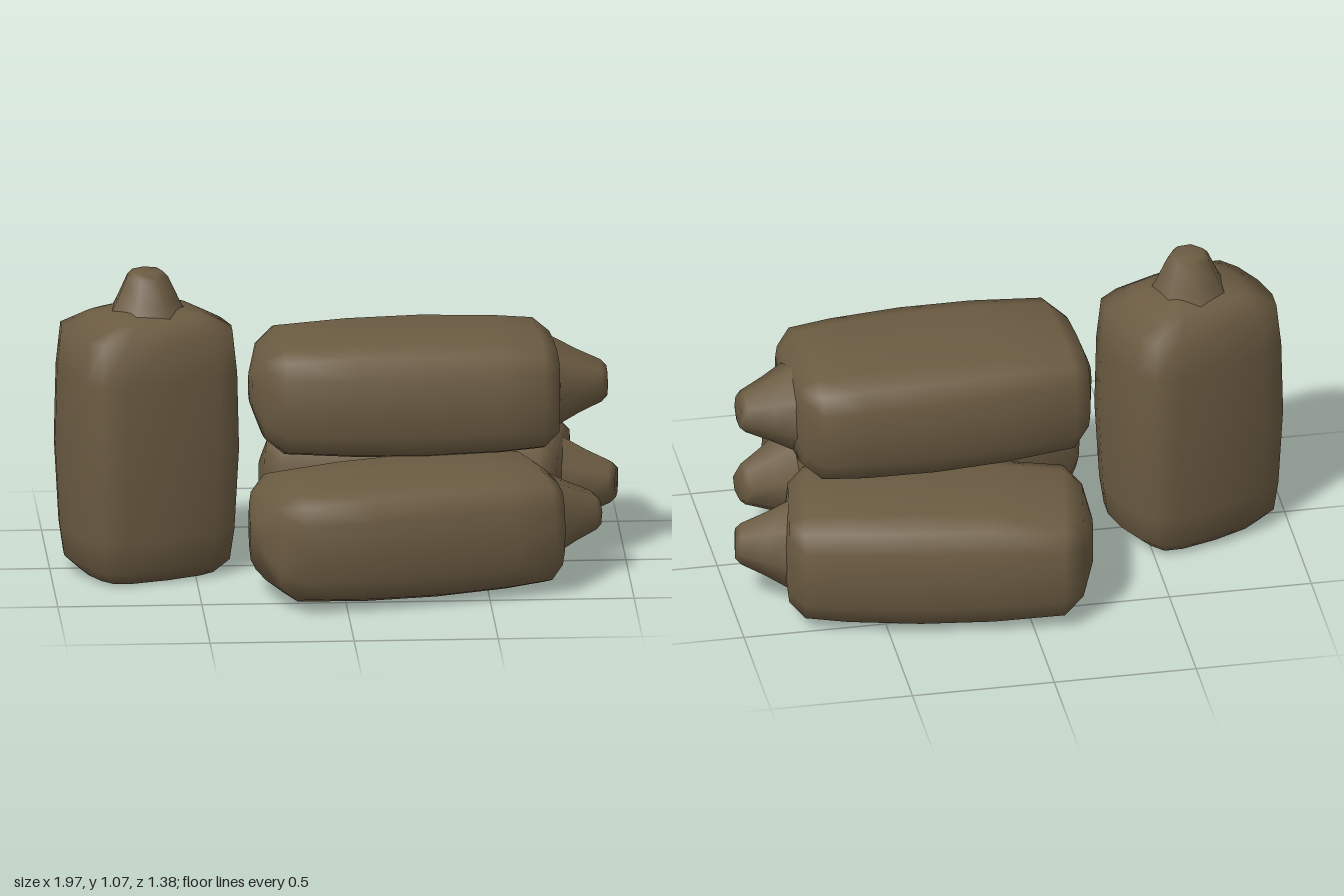
import * as THREE from 'three';

// Quarter of the boxy, soft-cornered cross-section (unit half sizes)
const QUARTER = [[1, 0], [0.96, 0.5], [0.86, 0.82], [0.58, 0.95]];

// Profiles along the sack: [distance from the bottom, scale of the section]
const STANDING = [[0, 0.72], [0.05, 0.9], [0.16, 0.95], [0.45, 1], [0.72, 0.98], [0.87, 0.93], [0.92, 0.62], [0.95, 0.3]];
const LYING = [[0, 0.25], [0.035, 0.68], [0.1, 0.91], [0.35, 0.98], [0.6, 1], [0.85, 0.97], [1.0, 0.92], [1.055, 0.72], [1.07, 0.3]];

function sectionPoints() {
  const right = QUARTER;
  const points = [...right, [0, 1]];
  for (const [x, z] of [...right].reverse()) points.push([-x, z]);
  for (const [x, z] of right.slice(1)) points.push([-x, -z]);
  points.push([0, -1]);
  for (const [x, z] of right.slice(1).reverse()) points.push([x, -z]);
  return points;
}

// Loft the section along y and close both ends
function bodyGeometry(profile, halfWidth, halfDepth) {
  const section = sectionPoints();
  const n = section.length;
  const positions = [];
  const index = [];
  for (const [y, s] of profile) {
    for (const [x, z] of section) positions.push(x * s * halfWidth, y, z * s * halfDepth);
  }
  for (let i = 0; i < profile.length - 1; i++) {
    for (let j = 0; j < n; j++) {
      const a = i * n + j;
      const b = i * n + (j + 1) % n;
      index.push(a, a + n, b, b, a + n, b + n);
    }
  }
  const bottom = positions.length / 3;
  const top = bottom + 1;
  const last = (profile.length - 1) * n;
  positions.push(0, profile[0][0], 0, 0, profile[profile.length - 1][0], 0);
  for (let j = 0; j < n; j++) {
    const k = (j + 1) % n;
    index.push(bottom, j, k, top, last + k, last + j);
  }
  const geometry = new THREE.BufferGeometry();
  geometry.setAttribute('position', new THREE.Float32BufferAttribute(positions, 3));
  geometry.setIndex(index);
  geometry.computeVertexNormals();
  return geometry;
}

// Gathered seven-sided neck with a slightly domed end
function neckGeometry() {
  const points = [[0.162, 0], [0.115, 0.085], [0.075, 0.17], [0.055, 0.19], [0, 0.192]];
  return new THREE.LatheGeometry(points.map(([r, y]) => new THREE.Vector2(r, y)), 7);
}

export function createModel() {
  const burlap = new THREE.MeshStandardMaterial({ color: 0x6b5b42, side: THREE.DoubleSide });
  burlap.name = 'brown burlap';
  const model = new THREE.Group();
  model.name = 'sackPile';

  const layDown = new THREE.Matrix4().makeBasis(
    new THREE.Vector3(0, 0, 1), new THREE.Vector3(1, 0, 0), new THREE.Vector3(0, 1, 0));

  function addSack({ name, lying, halfWidth, halfDepth, position, yaw, neckTurn }) {
    const body = bodyGeometry(lying ? LYING : STANDING, halfWidth, halfDepth);
    const neck = neckGeometry();
    neck.rotateY(neckTurn);
    neck.translate(0, lying ? 1.05 : 0.88, 0);
    if (lying) {
      // Centre along the length, then tip the mouth towards +x
      for (const g of [body, neck]) g.translate(0, -0.535, 0).applyMatrix4(layDown);
    }
    const sack = new THREE.Group();
    sack.name = name;
    const bodyMesh = new THREE.Mesh(body, burlap);
    bodyMesh.name = 'sackBody';
    const neckMesh = new THREE.Mesh(neck, burlap);
    neckMesh.name = 'sackNeck';
    sack.add(bodyMesh, neckMesh);
    sack.position.set(...position);
    sack.rotation.y = yaw;
    model.add(sack);
  }

  addSack({ name: 'standingSack', lying: false, halfWidth: 0.305, halfDepth: 0.24,
    position: [-0.665, 0, 0.015], yaw: 0.38, neckTurn: 0.2 });
  addSack({ name: 'frontSack', lying: true, halfWidth: 0.3, halfDepth: 0.22,
    position: [0.21, 0.22, 0.325], yaw: 0.25, neckTurn: 0.5 });
  addSack({ name: 'backSack', lying: true, halfWidth: 0.3, halfDepth: 0.22,
    position: [0.285, 0.22, -0.345], yaw: -0.17, neckTurn: 0.1 });
  addSack({ name: 'topSack', lying: true, halfWidth: 0.315, halfDepth: 0.215,
    position: [0.23, 0.635, -0.005], yaw: 0.05, neckTurn: 0.8 });

  return model;
}
